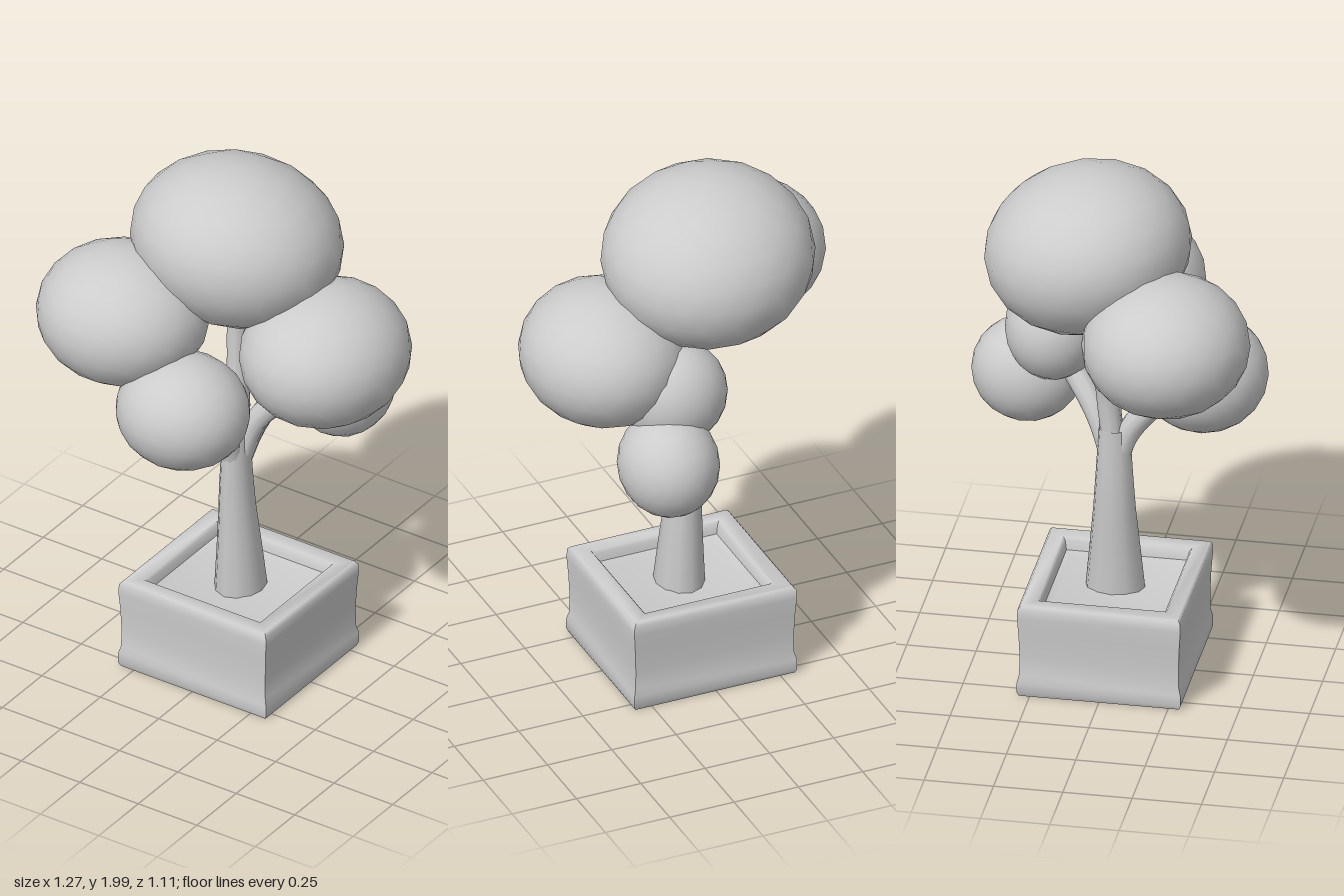
import * as THREE from 'three';
import { toCreasedNormals } from 'three/addons/utils/BufferGeometryUtils.js';

const grey = new THREE.MeshStandardMaterial({ color: 0xcccccc });
grey.name = 'plain grey';

function add(group, name, geometry) {
  const mesh = new THREE.Mesh(geometry, grey);
  mesh.name = name;
  group.add(mesh);
  return mesh;
}

// Round limb whose radius follows a list spread evenly along its path
function limb(points, radii, sides = 10) {
  const curve = new THREE.CatmullRomCurve3(points.map(p => new THREE.Vector3(...p)));
  const steps = 12;
  const geo = new THREE.TubeGeometry(curve, steps, 1, sides, false);
  const pos = geo.attributes.position;
  const v = new THREE.Vector3();
  for (let i = 0; i <= steps; i++) {
    const centre = curve.getPointAt(i / steps);
    const f = (i / steps) * (radii.length - 1);
    const k = Math.min(Math.floor(f), radii.length - 2);
    const r = THREE.MathUtils.lerp(radii[k], radii[k + 1], f - k);
    for (let j = 0; j <= sides; j++) {
      const n = i * (sides + 1) + j;
      v.fromBufferAttribute(pos, n).sub(centre).multiplyScalar(r).add(centre);
      pos.setXYZ(n, v.x, v.y, v.z);
    }
  }
  return geo;
}

// Foliage ball, stretched and then slanted so its top leans along x and z
function clump(radii, turn, slantX = 0, slantZ = 0) {
  const geo = new THREE.IcosahedronGeometry(1, 3);
  geo.rotateZ(0.55).rotateY(turn).scale(...radii);
  const slant = new THREE.Matrix4().set(1, 0, 0, 0, slantX, 1, slantZ, 0, 0, 0, 1, 0, 0, 0, 0, 1);
  return geo.applyMatrix4(slant);
}

export function createModel() {
  const tree = new THREE.Group();
  tree.name = 'pottedTree';

  // Square planter: half-width and height from the base, over the rim, to the soil
  const profile = [
    [0, 0], [0.98, 0], [1, 0.015], [1, 0.055], [0.975, 0.085], [0.972, 0.16],
    [0.982, 0.24], [0.998, 0.31], [0.993, 0.345], [0.96, 0.357], [0.79, 0.355],
    [0.76, 0.343], [0.74, 0.31], [0.66, 0.3], [0, 0.32],
  ].map(([r, y]) => new THREE.Vector2(r * Math.SQRT2, y));
  const pot = new THREE.LatheGeometry(profile, 4, Math.PI / 4);
  pot.scale(0.316, 1, 0.295);
  add(tree, 'planter', toCreasedNormals(pot, 0.95)).position.x = 0.004;

  // Trunk, a little deeper than wide
  const trunk = add(tree, 'trunk', limb(
    [[0.014, 0.3, 0], [0.008, 0.45, 0], [-0.004, 0.7, 0], [-0.006, 0.95, 0]],
    [0.09, 0.077, 0.064, 0.055, 0.047], 12));
  trunk.scale.z = 1.2;

  // Branches reaching into the foliage
  const branches = [
    ['crownBranch', [[-0.006, 0.84, 0], [-0.01, 1.05, -0.02], [-0.03, 1.25, -0.04], [-0.03, 1.45, -0.05]], [0.04, 0.042, 0.036, 0.04]],
    ['frontBranch', [[-0.006, 0.78, 0.005], [-0.008, 0.95, 0.06], [-0.015, 1.12, 0.21]], [0.035, 0.044, 0.04]],
    ['leftBranch', [[-0.002, 0.8, 0], [0.06, 1.0, -0.035], [0.25, 1.2, -0.08]], [0.035, 0.042, 0.05]],
    ['backBranch', [[-0.004, 0.78, -0.005], [0.04, 0.97, -0.07], [0.13, 1.15, -0.2]], [0.035, 0.042, 0.045]],
  ];
  for (const [name, points, radii] of branches) add(tree, name, limb(points, radii));

  // Foliage clumps and the swellings that join them: name, centre, shape
  const clumps = [
    ['crownFoliage', [-0.06, 1.69, -0.085], [[0.385, 0.305, 0.37], 0.3, -0.03, 0.07]],
    ['rightFoliage', [-0.325, 1.465, 0.245], [[0.315, 0.25, 0.3], 1.1]],
    ['leftFoliage', [0.335, 1.37, -0.06], [[0.3, 0.255, 0.325], 0.7]],
    ['frontFoliage', [-0.015, 1.205, 0.325], [[0.245, 0.21, 0.23], 0.1]],
    ['backFoliage', [0.215, 1.04, -0.355], [[0.18, 0.195, 0.2], 0.5]],
    ['backFoliageNeck', [0.145, 1.255, -0.245], [[0.195, 0.195, 0.175], 0.9]],
    ['crownLeftNeck', [0.17, 1.53, -0.08], [[0.15, 0.12, 0.17], 0.2]],
    ['crownRightNeck', [-0.2, 1.56, 0.08], [[0.15, 0.12, 0.15], 0.4]],
    ['frontRightNeck', [-0.15, 1.31, 0.29], [[0.12, 0.11, 0.14], 0.6]],
  ];
  for (const [name, centre, shape] of clumps) add(tree, name, clump(...shape)).position.set(...centre);
  return tree;
}
